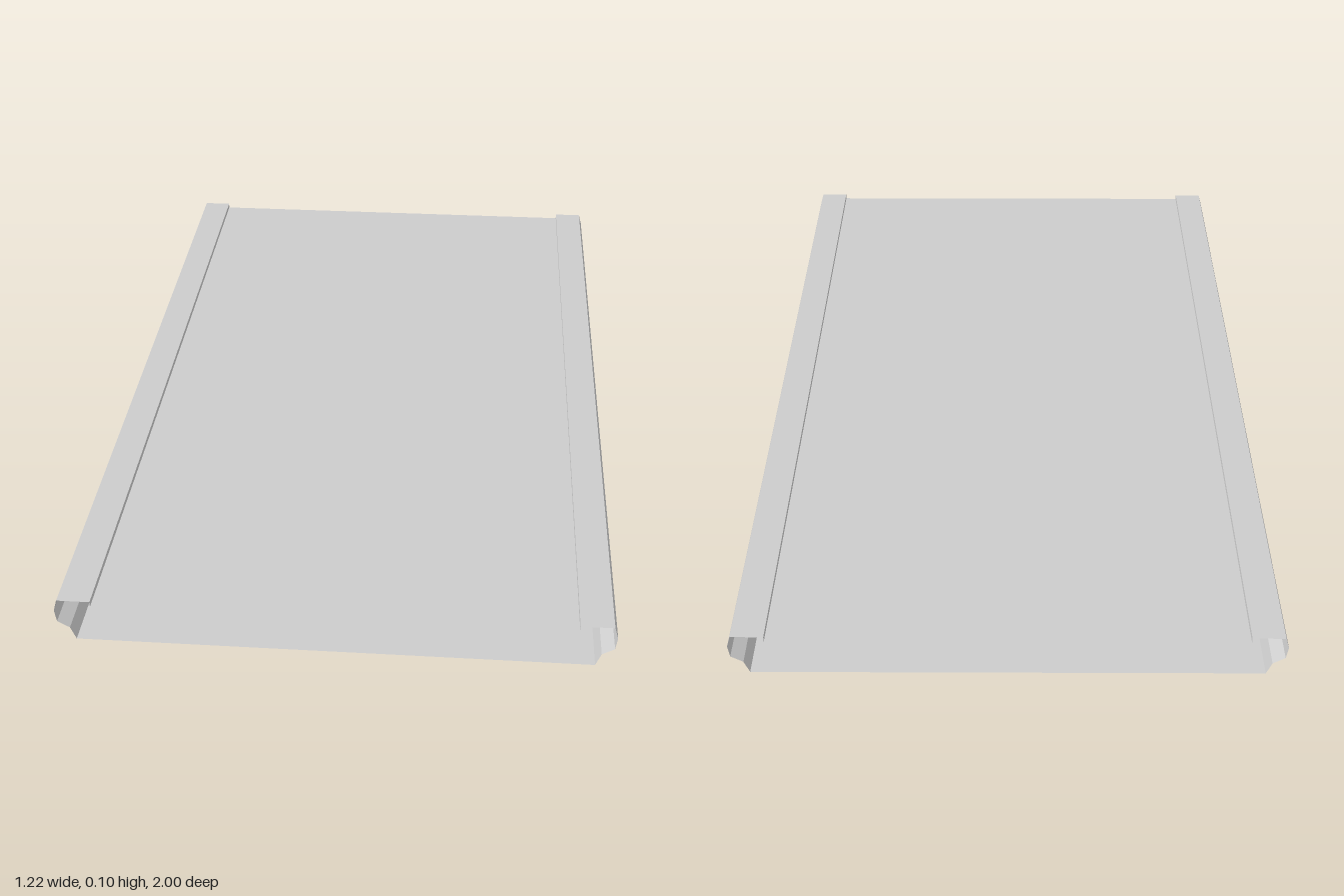
import * as THREE from 'three';

const HALF_LENGTH = 1;
const material = new THREE.MeshStandardMaterial({
  color: 0xcccccc, flatShading: true, side: THREE.DoubleSide,
});

// Sweep an open cross-section along z; points run counterclockwise as seen from the front
function sheet(name, points) {
  const positions = [];
  for (let i = 0; i < points.length - 1; i++) {
    const [ax, ay] = points[i];
    const [bx, by] = points[i + 1];
    const f = HALF_LENGTH, b = -HALF_LENGTH;
    positions.push(
      ax, ay, f, ax, ay, b, bx, by, f,
      bx, by, f, ax, ay, b, bx, by, b,
    );
  }
  const geometry = new THREE.BufferGeometry();
  geometry.setAttribute('position', new THREE.Float32BufferAttribute(positions, 3));
  geometry.computeVertexNormals();
  const mesh = new THREE.Mesh(geometry, material);
  mesh.name = name;
  return mesh;
}

export function createModel() {
  const group = new THREE.Group();
  group.name = 'hollowPanel';

  // Side rail: lower wall, undercut, bulged outer wall, raised lip, step to the deck
  const rail = [
    [0.565, 0], [0.577, 0.031], [0.604, 0.047], [0.608, 0.077],
    [0.6, 0.105], [0.527, 0.105], [0.527, 0.092],
  ];
  const mirrored = rail.map(([x, y]) => [-x, y]).reverse();
  group.add(sheet('leftRail', rail), sheet('rightRail', mirrored));

  // Sunken deck and flat underside; both ends stay open
  group.add(sheet('deck', [[0.527, 0.092], [-0.527, 0.092]]));
  group.add(sheet('underside', [[-0.565, 0], [0.565, 0]]));

  return group;
}
